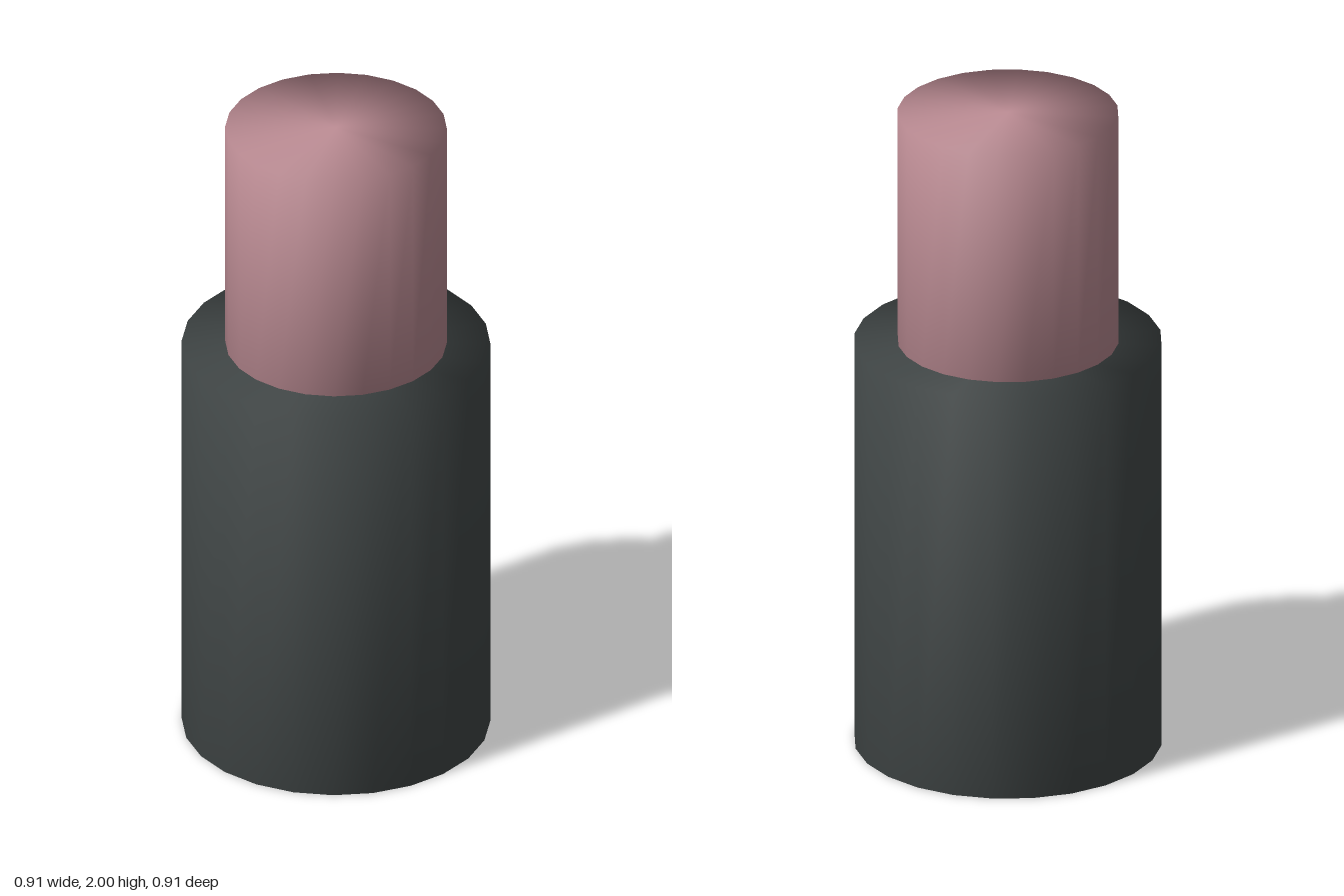
import * as THREE from 'three';
import { mergeVertices } from 'three/addons/utils/BufferGeometryUtils.js';

// 24-sided closed cylinder whose side and caps share smooth normals
function softCylinder(name, radius, bottom, top, color) {
  let geometry = new THREE.CylinderGeometry(radius, radius, top - bottom, 24);
  geometry.deleteAttribute('normal');
  geometry.deleteAttribute('uv');
  geometry = mergeVertices(geometry, 1e-4);
  geometry.computeVertexNormals();
  const mesh = new THREE.Mesh(geometry, new THREE.MeshStandardMaterial({ color }));
  mesh.name = name;
  mesh.position.y = (bottom + top) / 2;
  return mesh;
}

export function createModel() {
  const model = new THREE.Group();
  model.name = 'stackedCylinders';
  // Wide dark base
  model.add(softCylinder('base', 0.454, 0, 1.275, 0x434949));
  // Narrow pink column standing on the base
  model.add(softCylinder('column', 0.326, 1.275, 2, 0xc08f97));
  return model;
}
